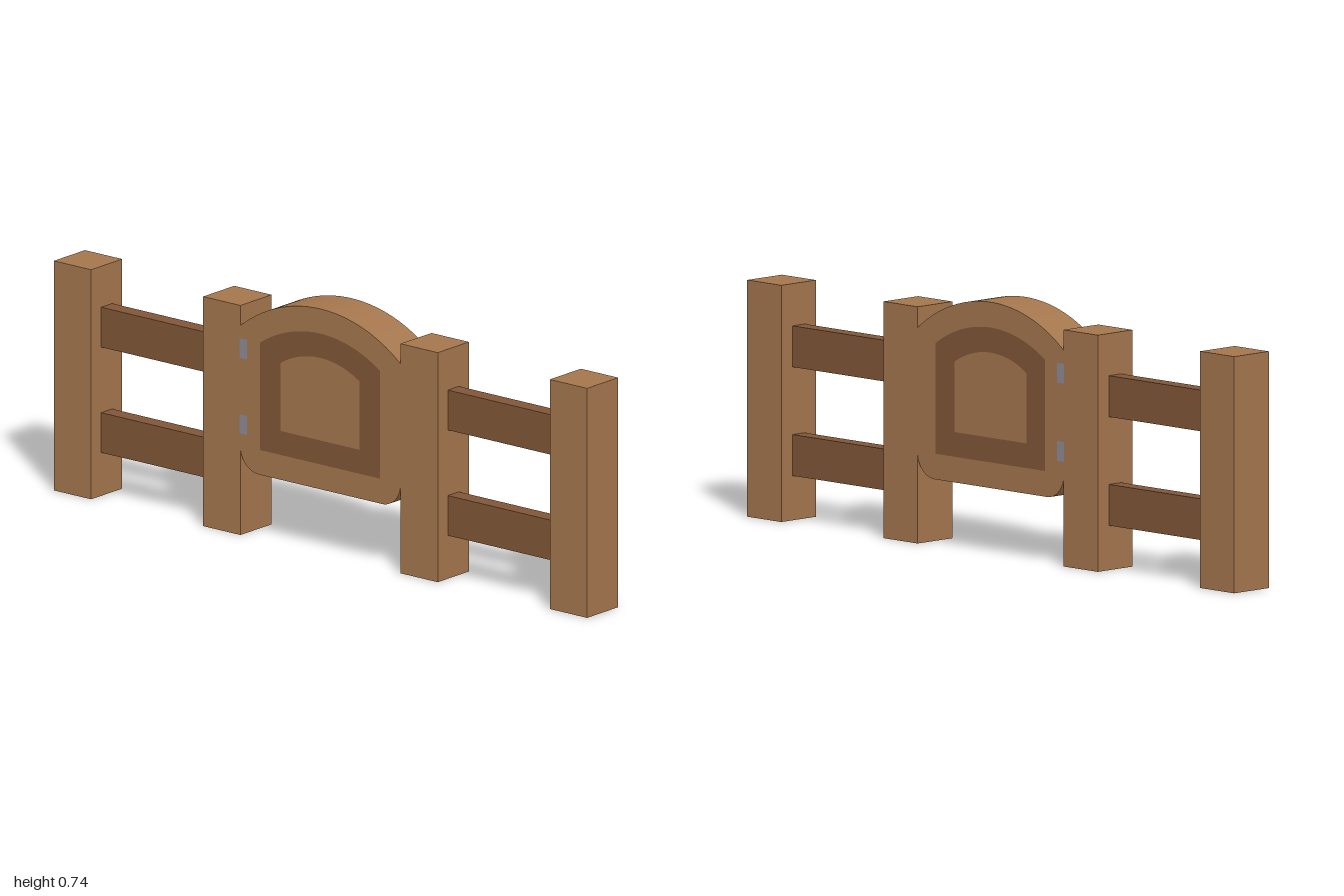
import * as THREE from 'three';

const DEPTH = 0.14;
const wood = new THREE.MeshStandardMaterial({ color: 0xa4764d });
const darkWood = new THREE.MeshStandardMaterial({ color: 0x815637 });
const metal = new THREE.MeshStandardMaterial({ color: 0x8c8a96 });

// Closed outline with a flat base, an arched top and optional rounded lower corners
function archOutline(half, bottom, spring, peak, corner = 0, path = new THREE.Shape()) {
  const sag = peak - spring;
  const radius = (half * half + sag * sag) / (2 * sag);
  const a = Math.asin(half / radius);
  path.moveTo(-half + corner, bottom);
  path.lineTo(half - corner, bottom);
  if (corner) path.absarc(half - corner, bottom + corner, corner, -Math.PI / 2, 0, false);
  path.lineTo(half, spring);
  path.absarc(0, peak - radius, radius, Math.PI / 2 - a, Math.PI / 2 + a, false);
  path.lineTo(-half, bottom + corner);
  if (corner) path.absarc(-half + corner, bottom + corner, corner, Math.PI, Math.PI * 1.5, false);
  return path;
}

export function createModel() {
  const group = new THREE.Group();

  function add(name, geometry, material, x = 0, y = 0, z = 0) {
    const mesh = new THREE.Mesh(geometry, material);
    mesh.name = name;
    mesh.position.set(x, y, z);
    group.add(mesh);
    return mesh;
  }

  // Posts and rails, mirrored on both sides
  for (const [side, s] of [['left', 1], ['right', -1]]) {
    add(side + 'OuterPost', new THREE.BoxGeometry(0.14, 0.69, DEPTH), wood, s * 0.93, 0.345);
    add(side + 'GatePost', new THREE.BoxGeometry(0.14, 0.69, DEPTH), wood, s * 0.37, 0.345);
    add(side + 'LowerRail', new THREE.BoxGeometry(0.42, 0.12, 0.05), darkWood, s * 0.65, 0.19);
    add(side + 'UpperRail', new THREE.BoxGeometry(0.42, 0.12, 0.05), darkWood, s * 0.65, 0.507);
  }

  // Arched gate panel
  const gate = new THREE.ExtrudeGeometry(archOutline(0.3, 0.195, 0.63, 0.737, 0.07), {
    depth: DEPTH, bevelEnabled: false, curveSegments: 24,
  });
  gate.translate(0, 0, -DEPTH / 2);
  add('gatePanel', gate, wood);

  // Flush dark border and hinge plates on both faces
  const border = archOutline(0.225, 0.27, 0.593, 0.663);
  border.holes.push(archOutline(0.148, 0.342, 0.547, 0.59, 0, new THREE.Path()));
  for (const [face, s] of [['front', 1], ['back', -1]]) {
    const z = s * (DEPTH / 2 + 0.001);
    const turn = s > 0 ? 0 : Math.PI;
    add(face + 'Border', new THREE.ShapeGeometry(border, 24), darkWood, 0, 0, z).rotation.y = turn;
    for (const [level, y] of [['Lower', 0.334], ['Upper', 0.562]]) {
      add(face + level + 'Hinge', new THREE.PlaneGeometry(0.028, 0.058), metal, -0.288, y, z).rotation.y = turn;
    }
  }
  return group;
}
